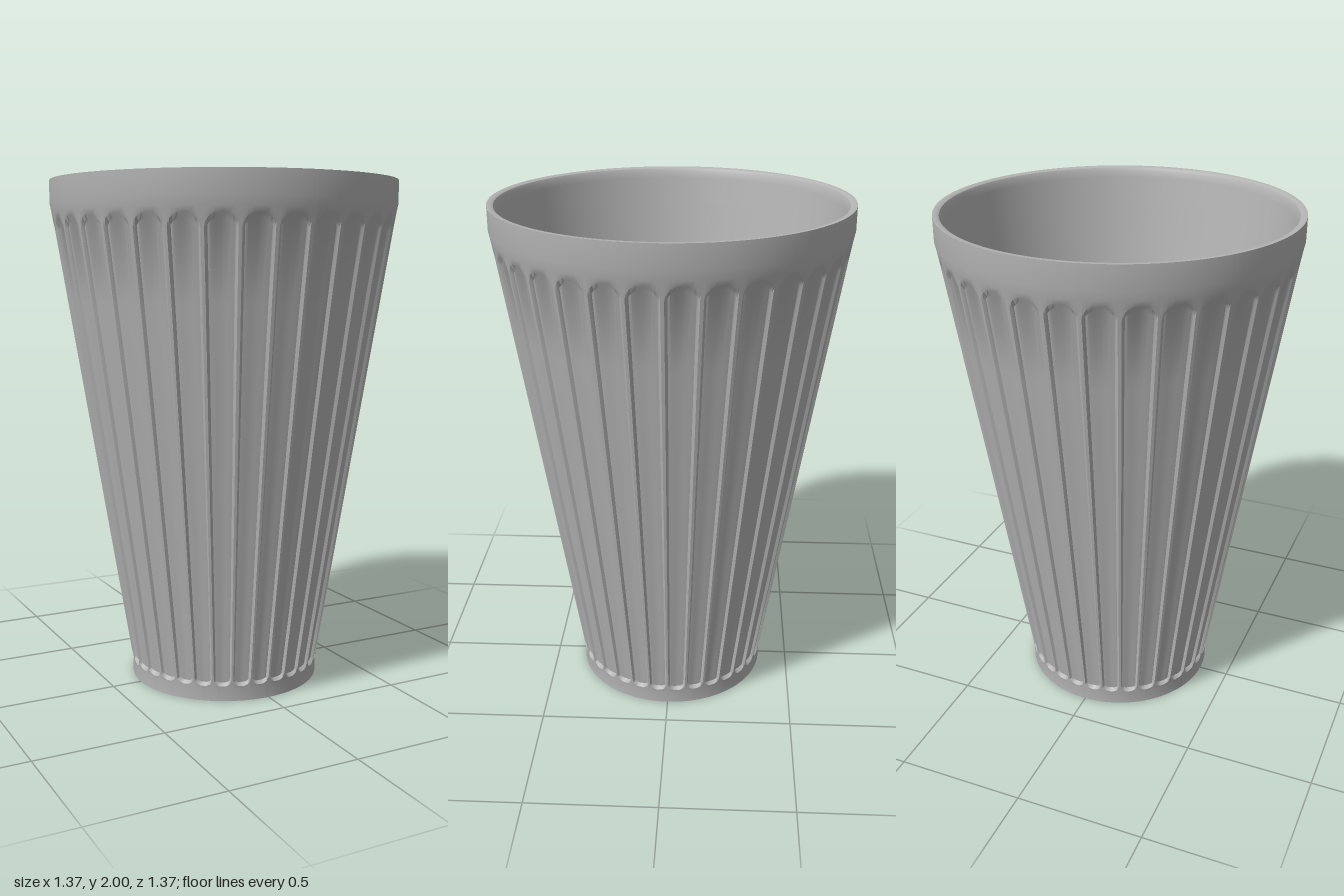
import * as THREE from 'three';
import { toCreasedNormals } from 'three/addons/utils/BufferGeometryUtils.js';

const FLUTES = 32;
// positions across one flute, from rib centre to rib centre
const ACROSS = [0, 0.05, 0.085, 0.13, 0.2, 0.35, 0.5, 0.65, 0.8, 0.87, 0.915, 0.95];
const { lerp, smoothstep } = THREE.MathUtils;

// tapered outside radius, swelling a little into the top band
function outerRadius(y) {
  if (y < 0.05) return 0.381;
  if (y < 1.86) return lerp(0.381, 0.674, (y - 0.05) / 1.81);
  return lerp(0.674, 0.684, Math.min(1, (y - 1.86) / 0.05));
}

// fluted wall: thin raised ribs between shallow hollows with arched ends
function flutedWall() {
  const positions = [], index = [], rows = 14;
  const columns = FLUTES * ACROSS.length;
  for (let i = 0; i <= columns; i++) {
    const u = ACROSS[i % ACROSS.length];
    const flute = Math.floor(i / ACROSS.length);
    const angle = ((flute + u) / FLUTES) * Math.PI * 2;
    const fromRib = Math.min(u, 1 - u);
    const hollow = 0.011 * smoothstep(fromRib, 0.05, 0.13) + 0.004 * smoothstep(fromRib, 0.1, 0.5);
    const arch = Math.pow(1 - smoothstep(fromRib, 0.05, 0.4), 2);
    const low = 0.06 + 0.015 * arch, high = 1.855 - 0.03 * arch;
    const levels = [[0, 0], [0.05, 0], [low, 0], [low + 0.012, 1]];
    for (let k = 1; k <= 5; k++) levels.push([lerp(low + 0.012, high - 0.02, k / 6), 1]);
    levels.push([high - 0.02, 1], [high, 0], [1.875, 0], [1.91, 0], [2, 0]);
    for (const [y, depth] of levels) {
      const r = outerRadius(y) - hollow * depth;
      positions.push(r * Math.sin(angle), y, r * Math.cos(angle));
    }
  }
  for (let i = 0; i < columns; i++) {
    for (let j = 0; j < rows - 1; j++) {
      const a = i * rows + j, b = a + rows;
      index.push(a, b, b + 1, a, b + 1, a + 1);
    }
  }
  const geometry = new THREE.BufferGeometry();
  geometry.setAttribute('position', new THREE.Float32BufferAttribute(positions, 3));
  geometry.setIndex(index);
  return toCreasedNormals(geometry, 0.6);
}

function lathe(points) {
  return toCreasedNormals(new THREE.LatheGeometry(points.map(([x, y]) => new THREE.Vector2(x, y)), 128), 0.6);
}

export function createModel() {
  const cup = new THREE.Group();
  cup.name = 'flutedCup';
  const grey = new THREE.MeshStandardMaterial({ color: 0xb4b4b4 });
  grey.name = 'grey';
  const add = (name, geometry) => {
    const mesh = new THREE.Mesh(geometry, grey);
    mesh.name = name;
    cup.add(mesh);
  };

  add('flutedWall', flutedWall());

  // flat underside
  add('base', lathe([[0, 0], [0.381, 0]]));

  // rim with a softened inner edge, sloping inside wall and rounded floor
  const inside = [[0.684, 2], [0.668, 2], [0.66, 1.996], [0.654, 1.985], [0.65, 1.96], [0.635, 1.85],
    [0.5, 1.03], [0.364, 0.2]];
  for (let k = 1; k <= 8; k++) {
    const t = (k / 8) * Math.PI / 2;
    inside.push([0.27 + 0.09 * Math.cos(t), 0.16 - 0.09 * Math.sin(t)]);
  }
  inside.push([0.14, 0.07], [0, 0.07]);
  add('rimAndInside', lathe(inside));

  return cup;
}
